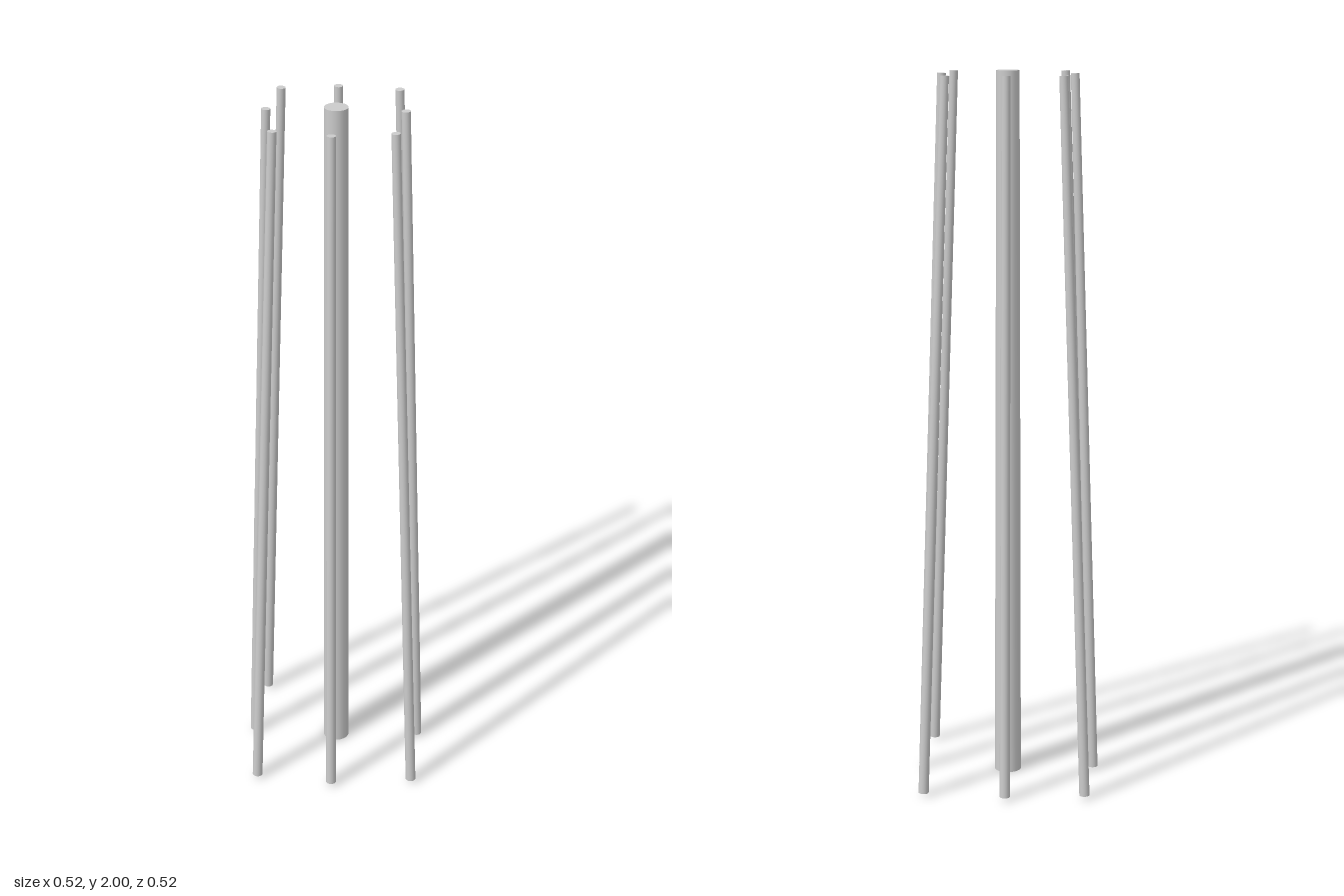
import * as THREE from 'three';

const material = new THREE.MeshStandardMaterial({ color: 0xcccccc });

// Tapered round rod between two points
function rod(name, bottom, top, rBottom, rTop, sides) {
  const axis = top.clone().sub(bottom);
  const mesh = new THREE.Mesh(new THREE.CylinderGeometry(rTop, rBottom, axis.length(), sides), material);
  mesh.name = name;
  mesh.position.copy(bottom).add(top).multiplyScalar(0.5);
  mesh.quaternion.setFromUnitVectors(new THREE.Vector3(0, 1, 0), axis.normalize());
  return mesh;
}

export function createModel() {
  const group = new THREE.Group();
  group.name = 'poleCluster';
  const v = (x, y, z) => new THREE.Vector3(x, y, z);

  // Central pole
  group.add(rod('centralPole', v(0, 0, -0.003), v(0, 2, -0.003), 0.038, 0.032, 18));

  // Ring of outer poles leaning inward: [name, bottom x, bottom z, top x, top z]
  const poles = [
    ['leftPole', 0.244, -0.003, 0.18, -0.003],
    ['frontLeftPole', 0.23, 0.221, 0.158, 0.158],
    ['frontPole', -0.003, 0.246, -0.003, 0.183],
    ['frontRightPole', -0.221, 0.221, -0.154, 0.158],
    ['rightPole', -0.246, -0.003, -0.182, -0.003],
    ['backRightPole', -0.224, -0.228, -0.154, -0.166],
    ['backPole', -0.002, -0.25, -0.003, -0.186],
    ['backLeftPole', 0.227, -0.228, 0.16, -0.166],
  ];
  for (const [name, bx, bz, tx, tz] of poles) {
    group.add(rod(name, v(bx, 0.01, bz), v(tx, 1.992, tz), 0.0145, 0.012, 18));
  }
  return group;
}
